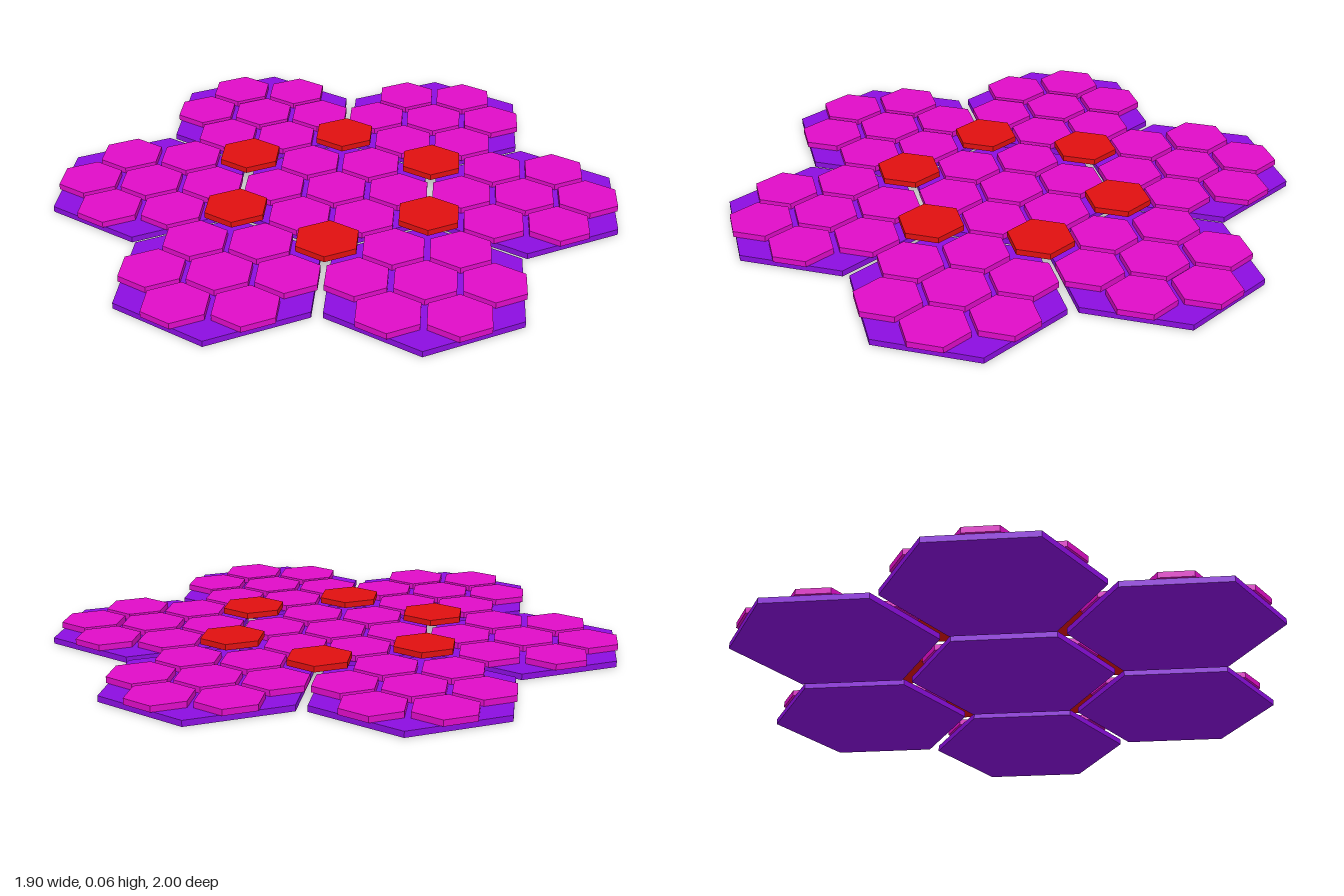
import * as THREE from 'three';

const STEP = 0.2245;   // spacing of the small tiles
const T = 0.021;       // thickness of each layer

// Flat-sided hexagonal prism with corners pointing along x
const hex = (radius) => new THREE.CylinderGeometry(radius, radius, T, 6, 1, false, Math.PI / 6);

const mat = (color) => new THREE.MeshStandardMaterial({ color, flatShading: true });

// Six [x, z] points on a circle, starting at an angle in degrees
const ring = (radius, start) => Array.from({ length: 6 }, (_, i) => {
  const a = THREE.MathUtils.degToRad(start + i * 60);
  return [radius * Math.cos(a), radius * Math.sin(a)];
});

export function createModel() {
  const model = new THREE.Group();
  model.name = 'hexagonTileBoard';

  const baseGeo = hex(0.367), tileGeo = hex(0.1178);
  const purple = mat(0x8c0ee0), pink = mat(0xe00cc8), red = mat(0xe01010);

  const add = (parent, name, geo, material, x, layer, z) => {
    const mesh = new THREE.Mesh(geo, material);
    mesh.name = name;
    mesh.position.set(x, (layer + 0.5) * T, z);
    parent.add(mesh);
  };

  // Seven clusters: a large base plate carrying seven small tiles
  for (const [cx, cz] of [[0, 0], ...ring(STEP * 3, 30)]) {
    const cluster = new THREE.Group();
    cluster.name = 'cluster';
    cluster.position.set(cx, 0, cz);
    add(cluster, 'basePlate', baseGeo, purple, 0, 0, 0);
    for (const [x, z] of [[0, 0], ...ring(STEP, 30)]) add(cluster, 'tile', tileGeo, pink, x, 1, z);
    model.add(cluster);
  }

  // Raised tiles bridging the junctions between clusters
  for (const [x, z] of ring(STEP * Math.sqrt(3), 0)) add(model, 'bridgeTile', tileGeo, red, x, 2, z);

  return model;
}
